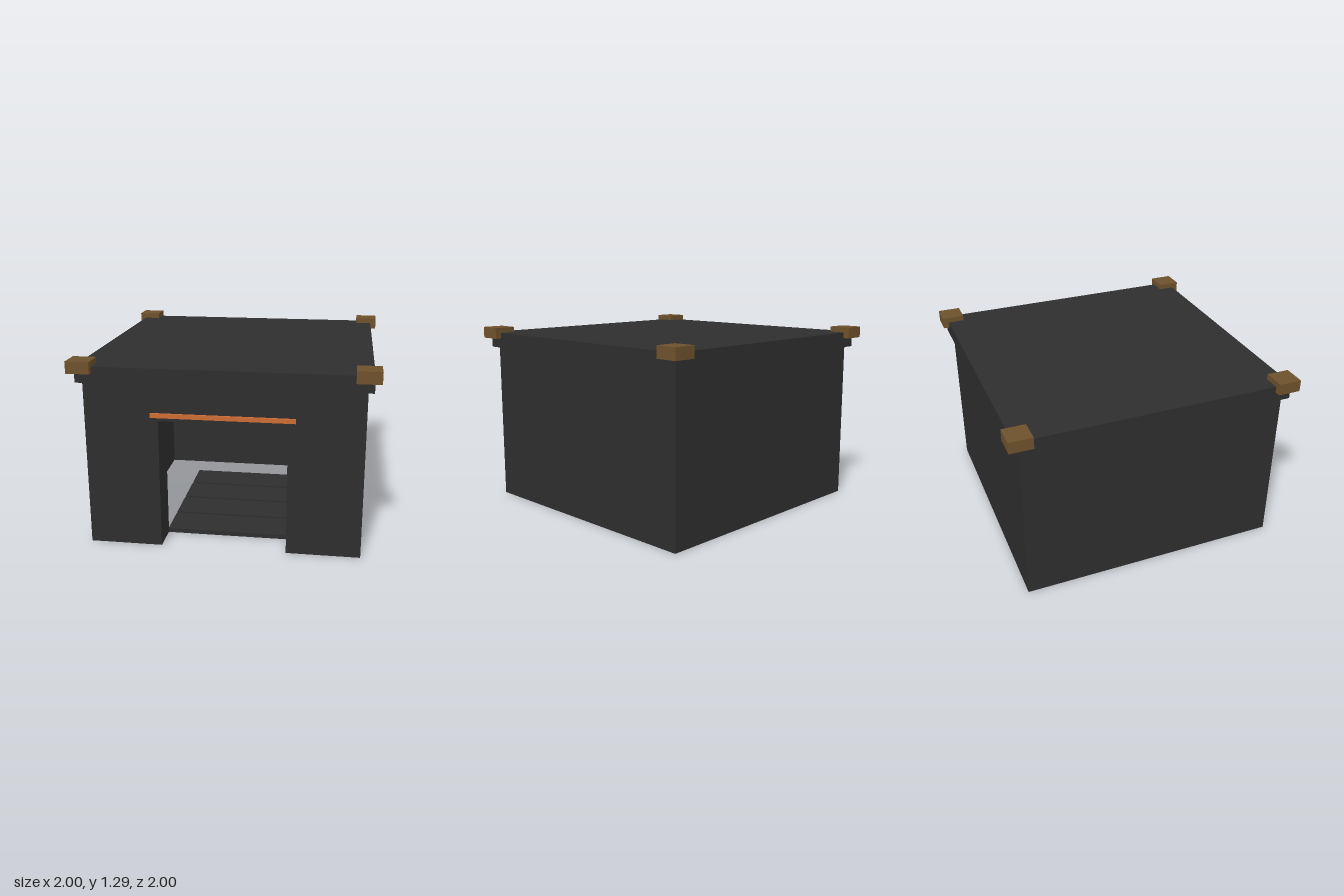
import * as THREE from 'three';

export function createModel() {
  const group = new THREE.Group();
  const charcoal = new THREE.MeshStandardMaterial({ color: 0x2e2e2e });
  charcoal.name = 'charcoal';
  const bronze = new THREE.MeshStandardMaterial({ color: 0x6e512d });
  bronze.name = 'bronze';
  const orange = new THREE.MeshStandardMaterial({ color: 0xcc6c33 });
  orange.name = 'orange';

  const add = (name, geometry, material) => {
    const mesh = new THREE.Mesh(geometry, material);
    mesh.name = name;
    group.add(mesh);
    return mesh;
  };
  // box given by its size and centre
  const box = (name, w, h, d, x, y, z, material) =>
    add(name, new THREE.BoxGeometry(w, h, d), material).position.set(x, y, z);

  const outer = 0.92, inner = 0.71, door = 0.425, doorTop = 0.89, wallTop = 1.14;

  // walls: a thick ring in plan, open at the doorway (plan y is -z)
  const plan = new THREE.Shape([
    [-door, -outer], [-door, -inner], [-inner, -inner], [-inner, inner],
    [inner, inner], [inner, -inner], [door, -inner], [door, -outer],
    [outer, -outer], [outer, outer], [-outer, outer], [-outer, -outer],
  ].map(([x, y]) => new THREE.Vector2(x, y)));
  const walls = new THREE.ExtrudeGeometry(plan, { depth: wallTop, bevelEnabled: false });
  walls.rotateX(-Math.PI / 2);
  add('walls', walls, charcoal);

  // wall above the doorway
  box('doorHeader', 2 * door, wallTop - doorTop, outer - inner,
    0, (wallTop + doorTop) / 2, (outer + inner) / 2, charcoal);

  // overhanging roof slab
  box('roof', 1.915, 0.11, 1.915, 0, 1.195, 0, charcoal);

  // floor planks running in from the doorway
  for (let i = 0; i < 4; i++) {
    box('floorPlank', 2 * door, 0.03, 0.265, 0, 0.015, 0.585 - i * 0.29, charcoal);
  }

  // bright strip over the door
  box('doorStrip', 0.95, 0.03, 0.03, 0, 0.93, 0.92, orange);

  // blocks on the roof corners
  for (const x of [-0.921, 0.921]) {
    for (const z of [-0.921, 0.921]) {
      box('cornerBlock', 0.158, 0.08, 0.158, x, 1.248, z, bronze);
    }
  }

  return group;
}
